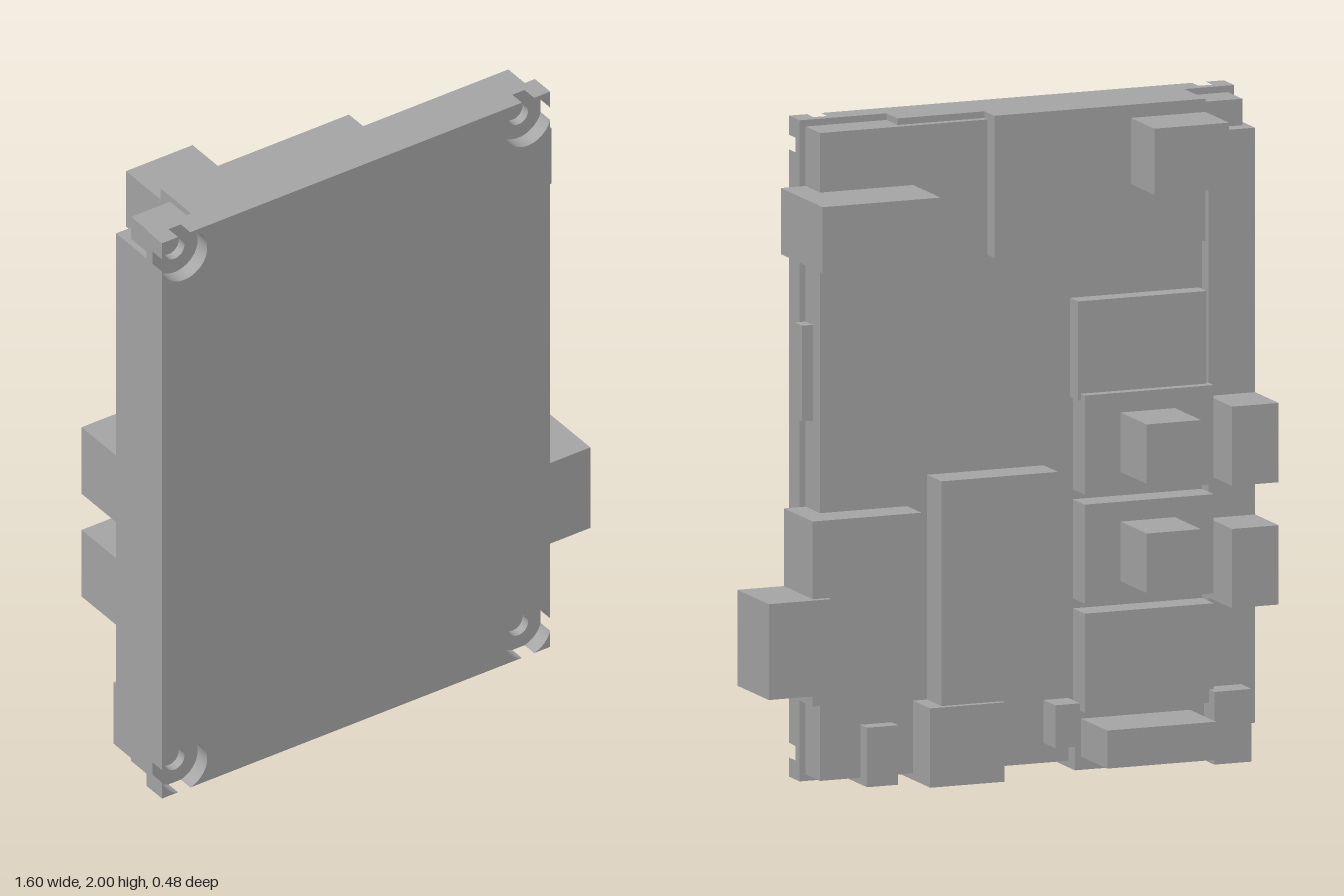
import * as THREE from 'three';

const grey = new THREE.MeshStandardMaterial({ color: 0xa6a6a6 });
grey.name = 'plain grey';

// Box given by its limits on each axis
function block(group, name, [x0, x1], [y0, y1], [z0, z1]) {
  const mesh = new THREE.Mesh(new THREE.BoxGeometry(x1 - x0, y1 - y0, z1 - z0), grey);
  mesh.position.set((x0 + x1) / 2, (y0 + y1) / 2, (z0 + z1) / 2);
  mesh.name = name;
  group.add(mesh);
}

function slab(group, name, shapes, z, depth) {
  const geometry = new THREE.ExtrudeGeometry(shapes, { depth, bevelEnabled: false, curveSegments: 24 });
  const mesh = new THREE.Mesh(geometry, grey);
  mesh.position.z = z;
  mesh.name = name;
  group.add(mesh);
}

// Front cover with four counterbored screw holes that break through its edges
function addCover(group) {
  const inset = 0.08, bore = 0.083, hole = 0.035, gap = Math.acos(inset / bore);
  const corners = [[0.52, 1.92], [-0.72, 1.92], [-0.72, 0.08], [0.52, 0.08]];

  const rear = new THREE.Shape([[-0.8, 0], [0.6, 0], [0.6, 2], [-0.8, 2]].map(p => new THREE.Vector2(...p)));
  const front = new THREE.Shape();
  const shards = [];
  corners.forEach(([cx, cy], i) => {
    const turn = i * Math.PI / 2;
    const at = a => [cx + bore * Math.cos(turn + a), cy + bore * Math.sin(turn + a)];
    rear.holes.push(new THREE.Path().absarc(cx, cy, hole, 0, Math.PI * 2, true));

    // Concave arc in the main outline
    const start = at(-gap);
    if (i === 0) front.moveTo(...start); else front.lineTo(...start);
    front.absarc(cx, cy, bore, turn - gap, turn + Math.PI / 2 + gap, true);

    // Loose corner piece outside the bore
    const shard = new THREE.Shape();
    shard.moveTo(...at(gap));
    shard.lineTo(cx + inset * Math.sign(cx), cy + inset * Math.sign(cy - 1));
    shard.lineTo(...at(Math.PI / 2 - gap));
    shard.absarc(cx, cy, bore, turn + Math.PI / 2 - gap, turn + gap, true);
    shards.push(shard);
  });
  front.closePath();
  slab(group, 'coverRear', rear, 0.16, 0.03);
  slab(group, 'coverFront', [front, ...shards], 0.19, 0.05);
}

export function createModel() {
  const group = new THREE.Group();
  group.name = 'circuitModule';
  addCover(group);

  // Circuit board and side rail
  block(group, 'board', [-0.78, 0.58], [0.02, 1.98], [0.05, 0.16]);
  block(group, 'sideRail', [-0.8, -0.65], [0.1, 1.9], [0, 0.16]);

  // Upper edge
  block(group, 'topModule', [-0.64, 0.04], [1.57, 2], [0, 0.16]);
  block(group, 'topStrip', [0.04, 0.32], [1.9, 2], [0.075, 0.16]);
  block(group, 'topSocket', [-0.64, -0.4], [1.76, 1.96], [-0.18, 0]);

  // Connectors on the left edge
  block(group, 'upperPort', [0.28, 0.66], [1.6, 1.8], [-0.16, 0.16]);
  block(group, 'edgeSwitch', [0.57, 0.615], [1.1, 1.39], [0.105, 0.16]);
  block(group, 'lowerPort', [0.3, 0.65], [0.27, 0.83], [-0.06, 0.16]);
  block(group, 'lowerPlug', [0.6, 0.8], [0.305, 0.595], [-0.08, 0.16]);

  // Chips
  block(group, 'mainChip', [-0.14, 0.235], [0.235, 0.92], [-0.06, 0.06]);
  block(group, 'flatChip', [-0.64, -0.225], [1.12, 1.42], [-0.01, 0.06]);
  for (const y of [0.99, 0.66, 0.33]) {
    block(group, 'relayPlate', [-0.65, -0.235], [y - 0.15, y + 0.15], [-0.04, 0.06]);
  }

  // Paired blocks on the plates and the rail
  for (const y of [0.9, 0.57]) {
    block(group, 'relayBlock', [-0.525, -0.35], [y, y + 0.18], [-0.24, 0]);
  }
  for (const y of [0.86, 0.49]) {
    block(group, 'railTerminal', [-0.8, -0.65], [y, y + 0.24], [-0.18, 0.01]);
  }

  // Lower edge
  block(group, 'bottomModule', [-0.64, -0.22], [0, 0.18], [0, 0.16]);
  block(group, 'bottomSocket', [-0.59, -0.24], [0.04, 0.155], [-0.2, 0.01]);
  block(group, 'bottomPort', [0.04, 0.28], [0, 0.24], [-0.08, 0.16]);
  block(group, 'bottomJack', [0.35, 0.45], [0, 0.18], [0, 0.16]);
  block(group, 'smallPost', [-0.22, -0.14], [0.08, 0.21], [-0.04, 0.06]);
  block(group, 'cornerPost', [-0.755, -0.635], [0, 0.22], [-0.08, 0.16]);
  return group;
}
